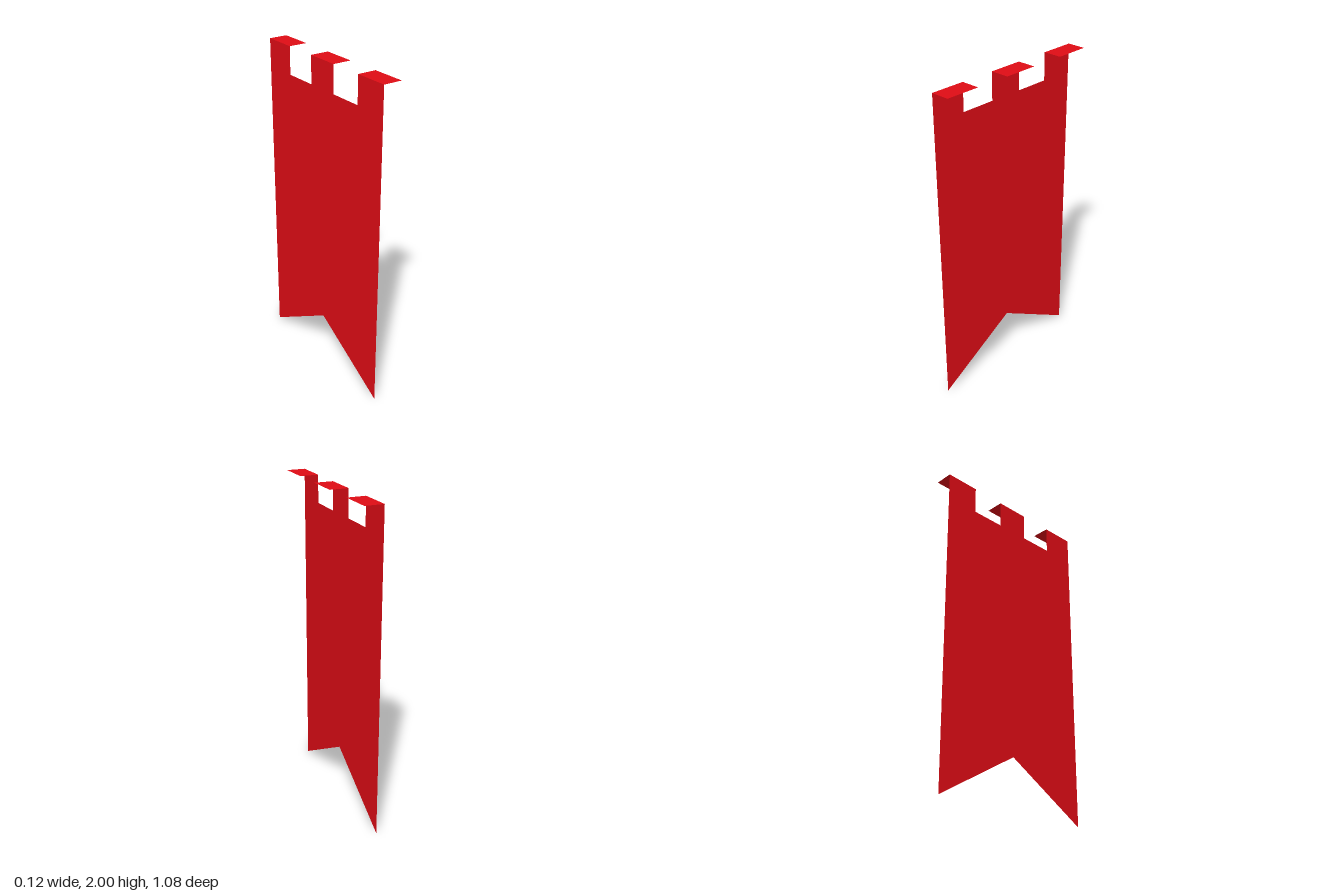
import * as THREE from 'three';

export function createModel() {
  const group = new THREE.Group();
  group.name = 'hangingBanner';
  const red = new THREE.MeshStandardMaterial({ color: 0xdf0c15, side: THREE.DoubleSide });

  const halfWidth = 0.54, tabWidth = 0.215, tabDepth = 0.115;
  const top = 2, notchFloor = 1.83, forkHeight = 0.315;
  const tabCentres = [-1, 0, 1].map(i => i * (halfWidth - tabWidth / 2));

  // Cloth: forked lower edge, notched upper edge
  const outline = new THREE.Shape();
  outline.moveTo(halfWidth, notchFloor);
  outline.lineTo(halfWidth, 0);
  outline.lineTo(0, forkHeight);
  outline.lineTo(-halfWidth, 0);
  for (const c of tabCentres) {
    const a = c - tabWidth / 2, b = c + tabWidth / 2;
    if (c > tabCentres[0]) outline.lineTo(a, notchFloor);
    outline.lineTo(a, top);
    outline.lineTo(b, top);
    if (c < tabCentres[2]) outline.lineTo(b, notchFloor);
  }
  const cloth = new THREE.Mesh(new THREE.ShapeGeometry(outline).rotateY(Math.PI / 2), red);
  cloth.name = 'cloth';
  cloth.position.x = -tabDepth / 2;
  group.add(cloth);

  // Flat hanging tabs folded over at the top
  const tabGeometry = new THREE.PlaneGeometry(tabDepth, tabWidth).rotateX(-Math.PI / 2);
  tabCentres.forEach((z, i) => {
    const tab = new THREE.Mesh(tabGeometry, red);
    tab.name = `hangingTab${i + 1}`;
    tab.position.set(0, top, z);
    group.add(tab);
  });

  return group;
}
